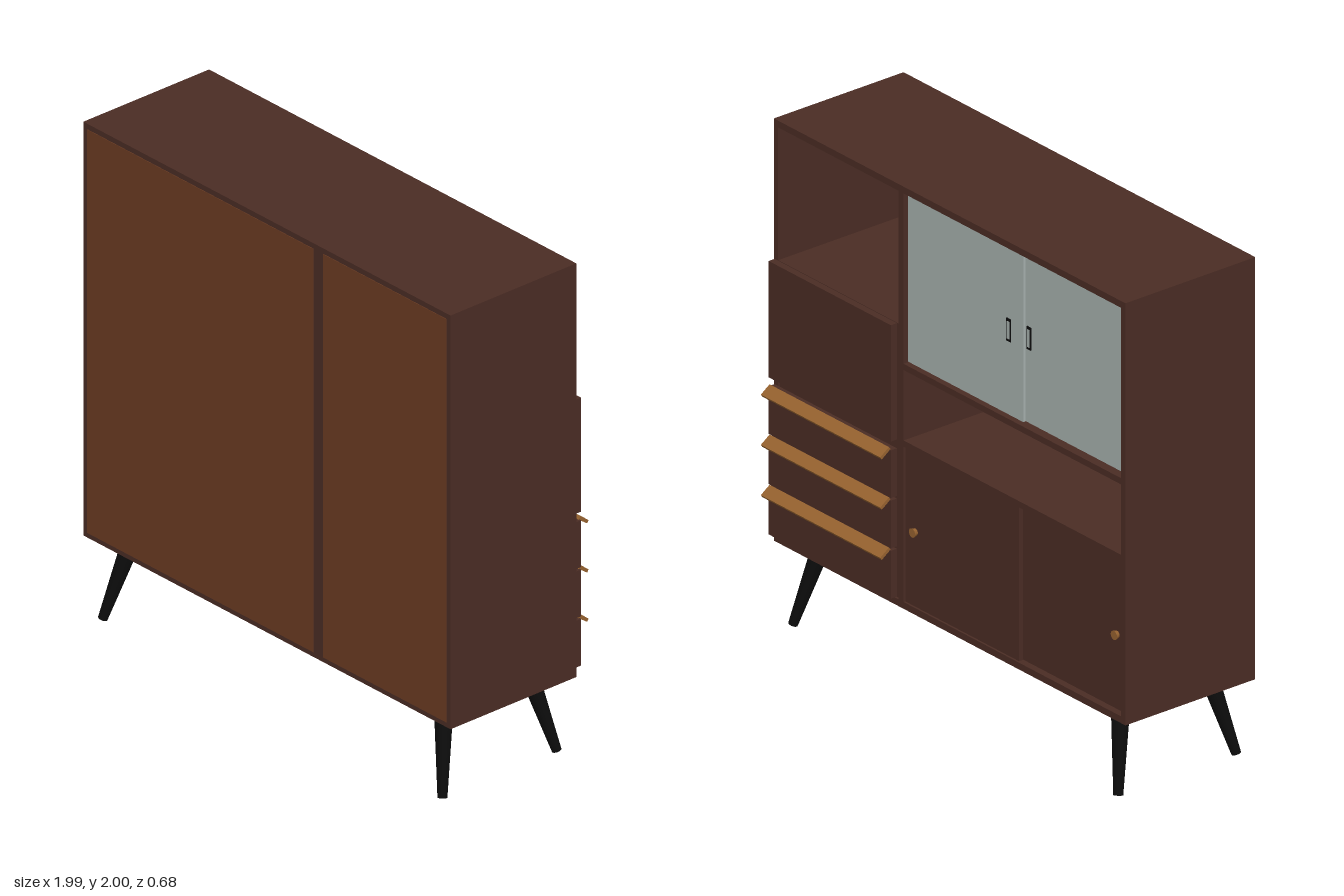
import * as THREE from 'three';

const mat = (name, color) => {
  const m = new THREE.MeshStandardMaterial({ color });
  m.name = name;
  return m;
};

export function createModel() {
  const root = new THREE.Group();
  root.name = 'cabinet';

  const walnut = mat('dark walnut', 0x4a2c24);
  const backing = mat('backing board', 0x6b3b22);
  const oak = mat('light oak', 0x96622f);
  const glass = mat('frosted glass', 0xa6b0ad);
  const black = mat('black', 0x0c0c0c);

  // Box given by its limits on each axis
  const box = (name, m, x0, x1, y0, y1, z0, z1, parent = root) => {
    const mesh = new THREE.Mesh(new THREE.BoxGeometry(x1 - x0, y1 - y0, z1 - z0), m);
    mesh.position.set((x0 + x1) / 2, (y0 + y1) / 2, (z0 + z1) / 2);
    mesh.name = name;
    parent.add(mesh);
    return mesh;
  };

  // Carcass: its open side faces -z
  const F = -0.27, B = 0.333;
  box('top', walnut, -0.995, 0.99, 1.973, 2, F, B);
  box('bottom', walnut, -0.995, 0.99, 0.32, 0.347, F, B);
  box('rightSide', walnut, -0.995, -0.97, 0.347, 1.973, F, B);
  box('leftSide', walnut, 0.965, 0.99, 0.347, 1.973, F, B);
  box('divider', walnut, 0.257, 0.287, 0.347, 1.973, F, B);
  box('backBoard', walnut, -0.97, 0.965, 0.347, 1.973, 0.315, B);
  box('wideBackPanel', backing, -0.972, 0.25, 0.34, 1.978, B - 0.002, B + 0.002);
  box('narrowBackPanel', backing, 0.302, 0.968, 0.34, 1.978, B - 0.002, B + 0.002);

  // Shelves
  box('cubbyShelf', walnut, 0.287, 0.965, 1.42, 1.445, F, 0.315);
  box('glassShelf', walnut, -0.97, 0.257, 1.27, 1.295, F, 0.315);
  box('nicheShelf', walnut, -0.97, 0.257, 0.965, 0.99, F, 0.315);

  // Narrow column: flap, then three drawers with slanted pulls
  box('flapDoor', walnut, 0.295, 0.985, 0.98, 1.443, -0.298, F);
  box('columnCore', walnut, 0.287, 0.965, 0.347, 1.42, -0.262, -0.24);
  for (let i = 0; i < 3; i++) {
    const y = 0.945 - i * 0.2;
    box('drawerFront', walnut, 0.295, 0.985, y - 0.19, y, -0.298, F);
    const pull = box('drawerPull', oak, 0.303, 0.977, y - 0.015, y - 0.002, -0.342, -0.292);
    pull.rotation.x = -0.62;
  }

  // Sliding glass doors with sunken pulls, the +x one in front
  const glassDoors = new THREE.Group();
  glassDoors.name = 'glassDoors';
  root.add(glassDoors);
  [[-0.4, 0.252, -0.255, -0.32], [-0.965, -0.38, -0.243, -0.42]].forEach(([x0, x1, z, px]) => {
    box('glassDoor', glass, x0, x1, 1.302, 1.965, z, z + 0.01, glassDoors);
    box('pullFrame', black, px - 0.012, px + 0.012, 1.595, 1.685, z - 0.004, z, glassDoors);
    box('pullInset', glass, px - 0.006, px + 0.006, 1.605, 1.675, z - 0.006, z - 0.003, glassDoors);
  });

  // Sliding wooden doors with round knobs
  const knobGeo = new THREE.CylinderGeometry(0.018, 0.013, 0.018, 16).rotateX(-Math.PI / 2);
  [[-0.385, 0.257, -0.262, 0.2], [-0.97, -0.37, -0.242, -0.915]].forEach(([x0, x1, z, kx]) => {
    box('slidingDoor', walnut, x0, x1, 0.347, 0.962, z, z + 0.018);
    const knob = new THREE.Mesh(knobGeo, oak);
    knob.position.set(kx, 0.645, z - 0.007);
    knob.name = 'doorKnob';
    root.add(knob);
  });

  // Splayed tapered legs
  const up = new THREE.Vector3(0, 1, 0);
  for (const sx of [-1, 1]) {
    for (const sz of [-1, 1]) {
      const top = new THREE.Vector3(sx * 0.842, 0.33, 0.034 + sz * 0.2);
      const foot = new THREE.Vector3(sx * 0.918, 0.005, 0.034 + sz * 0.274);
      const dir = top.clone().sub(foot);
      const leg = new THREE.Mesh(new THREE.CylinderGeometry(0.036, 0.018, dir.length(), 20), black);
      leg.position.copy(top).add(foot).multiplyScalar(0.5);
      leg.quaternion.setFromUnitVectors(up, dir.normalize());
      leg.name = 'leg';
      root.add(leg);
    }
  }
  return root;
}
